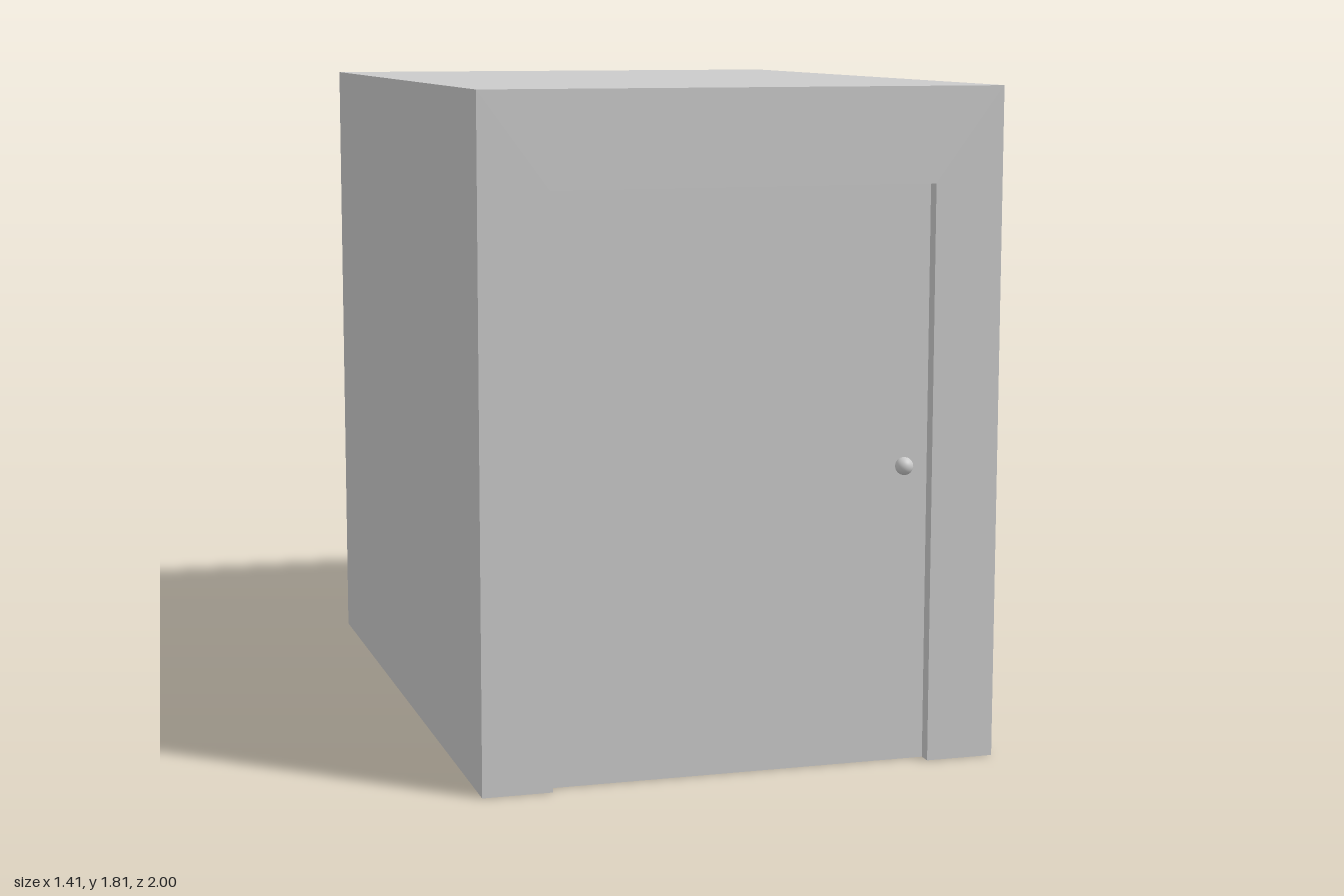
import * as THREE from 'three';

const W = 0.707, H = 1.807, D = 1;          // half width, height, half depth
const OW = 0.52, OH = 1.553, DZ = 0.963;    // doorway half width, height, door plane

export function createModel() {
  const group = new THREE.Group();
  const mat = new THREE.MeshStandardMaterial({ color: 0xcccccc, side: THREE.DoubleSide });
  const add = (name, geo, x, y, z, rx = 0, ry = 0) => {
    const mesh = new THREE.Mesh(geo, mat);
    mesh.name = name;
    mesh.position.set(x, y, z);
    mesh.rotation.set(rx, ry, 0);
    group.add(mesh);
  };

  // Thin shell, open at the back and underneath
  add('roof', new THREE.PlaneGeometry(2 * W, 2 * D), 0, H, 0, -Math.PI / 2);
  for (const s of [1, -1]) {
    const side = s > 0 ? 'left' : 'right';
    add(side + 'Wall', new THREE.PlaneGeometry(2 * D, H), s * W, H / 2, 0, 0, s * Math.PI / 2);
    // Sides of the doorway recess, facing into the opening
    add(side + 'Jamb', new THREE.PlaneGeometry(D - DZ, OH), s * OW, OH / 2, (D + DZ) / 2, 0, -s * Math.PI / 2);
  }
  add('lintel', new THREE.PlaneGeometry(2 * OW, D - DZ), 0, OH, (D + DZ) / 2, Math.PI / 2);

  // Front wall around the doorway
  const front = new THREE.Shape([
    [-W, 0], [-OW, 0], [-OW, OH], [OW, OH], [OW, 0], [W, 0], [W, H], [-W, H],
  ].map(([x, y]) => new THREE.Vector2(x, y)));
  add('frontWall', new THREE.ShapeGeometry(front), 0, 0, D);

  // Recessed door and its knob
  add('door', new THREE.PlaneGeometry(2 * OW, OH), 0, OH / 2, DZ);
  add('doorKnob', new THREE.SphereGeometry(0.024, 32, 16), 0.452, 0.804, 0.973);

  return group;
}
